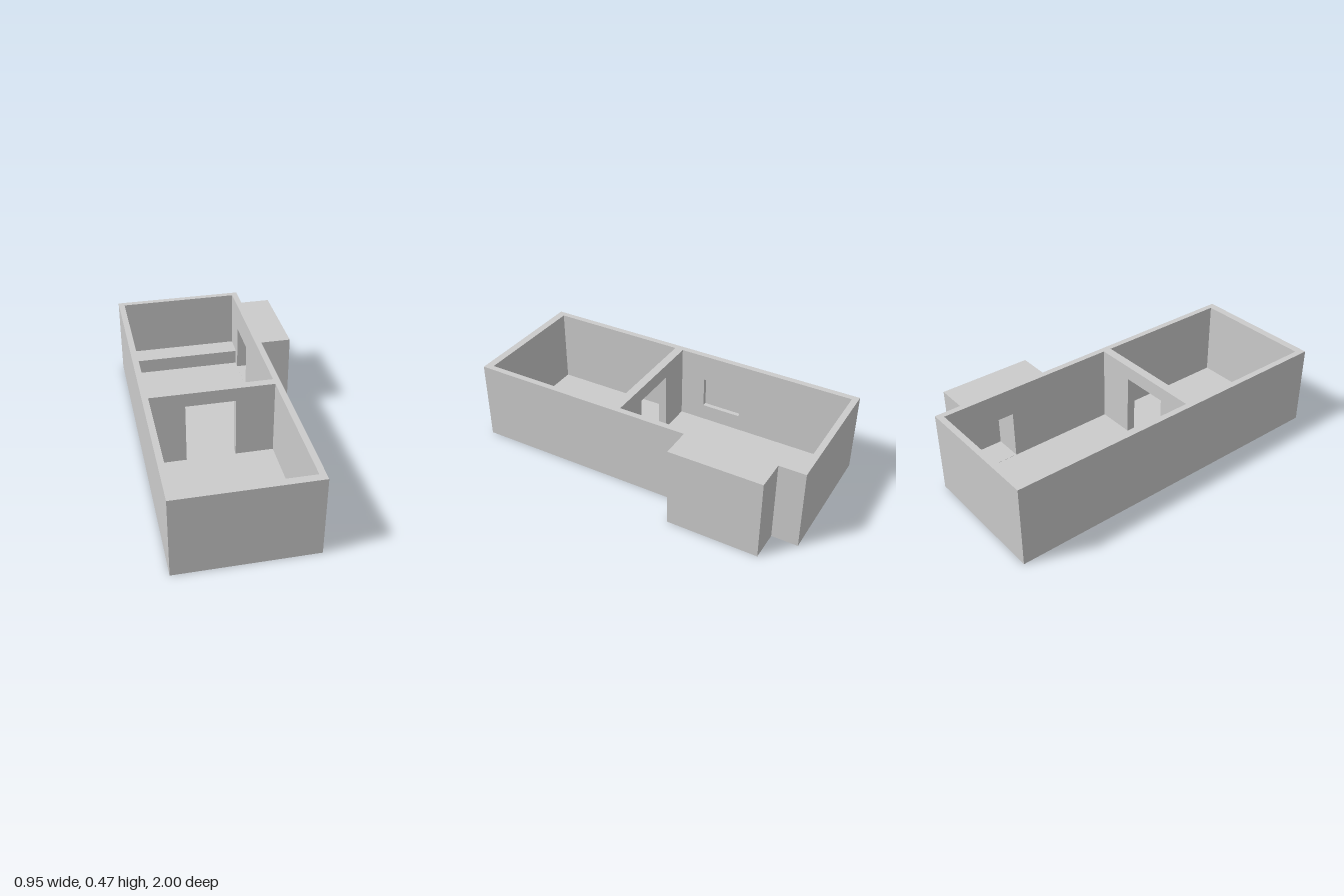
import * as THREE from 'three';

const FLOOR = 0.025, TOP = 0.47;
const material = new THREE.MeshStandardMaterial({ color: 0xcccccc, flatShading: true });

function add(group, name, geometry) {
  const mesh = new THREE.Mesh(geometry, material);
  mesh.name = name;
  group.add(mesh);
  return mesh;
}

// Box given by its extents
function block(group, name, [x0, x1], [y0, y1], [z0, z1]) {
  const mesh = add(group, name, new THREE.BoxGeometry(x1 - x0, y1 - y0, z1 - z0));
  mesh.position.set((x0 + x1) / 2, (y0 + y1) / 2, (z0 + z1) / 2);
}

function rectangle(path, [a0, a1], [b0, b1]) {
  path.moveTo(a0, b0);
  path.lineTo(a1, b0);
  path.lineTo(a1, b1);
  path.lineTo(a0, b1);
  path.closePath();
  return path;
}

// Wall running along z, with a rectangular opening through its thickness
function sideWall(group, name, [x0, x1], zRange, openZ, openY) {
  const shape = rectangle(new THREE.Shape(), zRange, [FLOOR, TOP]);
  shape.holes.push(rectangle(new THREE.Path(), openZ, openY));
  const geometry = new THREE.ExtrudeGeometry(shape, { depth: x1 - x0, bevelEnabled: false });
  geometry.rotateY(-Math.PI / 2);
  add(group, name, geometry).position.x = x1;
}

export function createModel() {
  const group = new THREE.Group();
  group.name = 'twoRoomBuilding';
  const wallY = [FLOOR, TOP];
  const inside = [-0.44, 0.265];
  const annexZ = [-0.85, -0.32];

  // Floor slabs
  block(group, 'floor', [-0.475, 0.3], [0, FLOOR], [-1, 1]);
  block(group, 'annexFloor', [0.3, 0.475], [0, FLOOR], annexZ);

  // End walls
  block(group, 'frontWall', inside, wallY, [0.955, 1]);
  block(group, 'backWall', inside, wallY, [-1, -0.965]);

  // Right wall with a shallow window niche, closed on the outside
  block(group, 'rightWallOuter', [-0.475, -0.467], wallY, [-1, 1]);
  sideWall(group, 'rightWallInner', [-0.467, -0.44], [-1, 1], [-0.3, -0.06], [0.123, 0.308]);

  // Left wall and annex, with an alcove reaching into the annex
  const alcoveZ = [-0.8, -0.555], alcoveY = [FLOOR + 0.001, 0.308];
  sideWall(group, 'leftWall', [0.265, 0.3], [-1, 1], alcoveZ, alcoveY);
  sideWall(group, 'annexWalls', [0.3, 0.43], annexZ, alcoveZ, alcoveY);
  block(group, 'annexOuterWall', [0.43, 0.475], wallY, annexZ);

  // Partition with a doorway down to the floor
  const partition = new THREE.Shape([
    [-0.44, FLOOR], [-0.24, FLOOR], [-0.24, 0.388], [0.045, 0.388],
    [0.045, FLOOR], [0.265, FLOOR], [0.265, TOP], [-0.44, TOP],
  ].map(([x, y]) => new THREE.Vector2(x, y)));
  add(group, 'partition', new THREE.ExtrudeGeometry(partition, { depth: 0.05, bevelEnabled: false }))
    .position.z = 0.09;

  // Bench across the back room, its front edge sloping down
  const bench = new THREE.Shape([
    [-0.965, FLOOR], [-0.85, FLOOR], [-0.85, 0.115], [-0.89, 0.125], [-0.965, 0.125],
  ].map(([z, y]) => new THREE.Vector2(z, y)));
  const benchGeometry = new THREE.ExtrudeGeometry(bench, { depth: 0.705, bevelEnabled: false });
  benchGeometry.rotateY(-Math.PI / 2);
  add(group, 'bench', benchGeometry).position.x = 0.265;

  return group;
}
